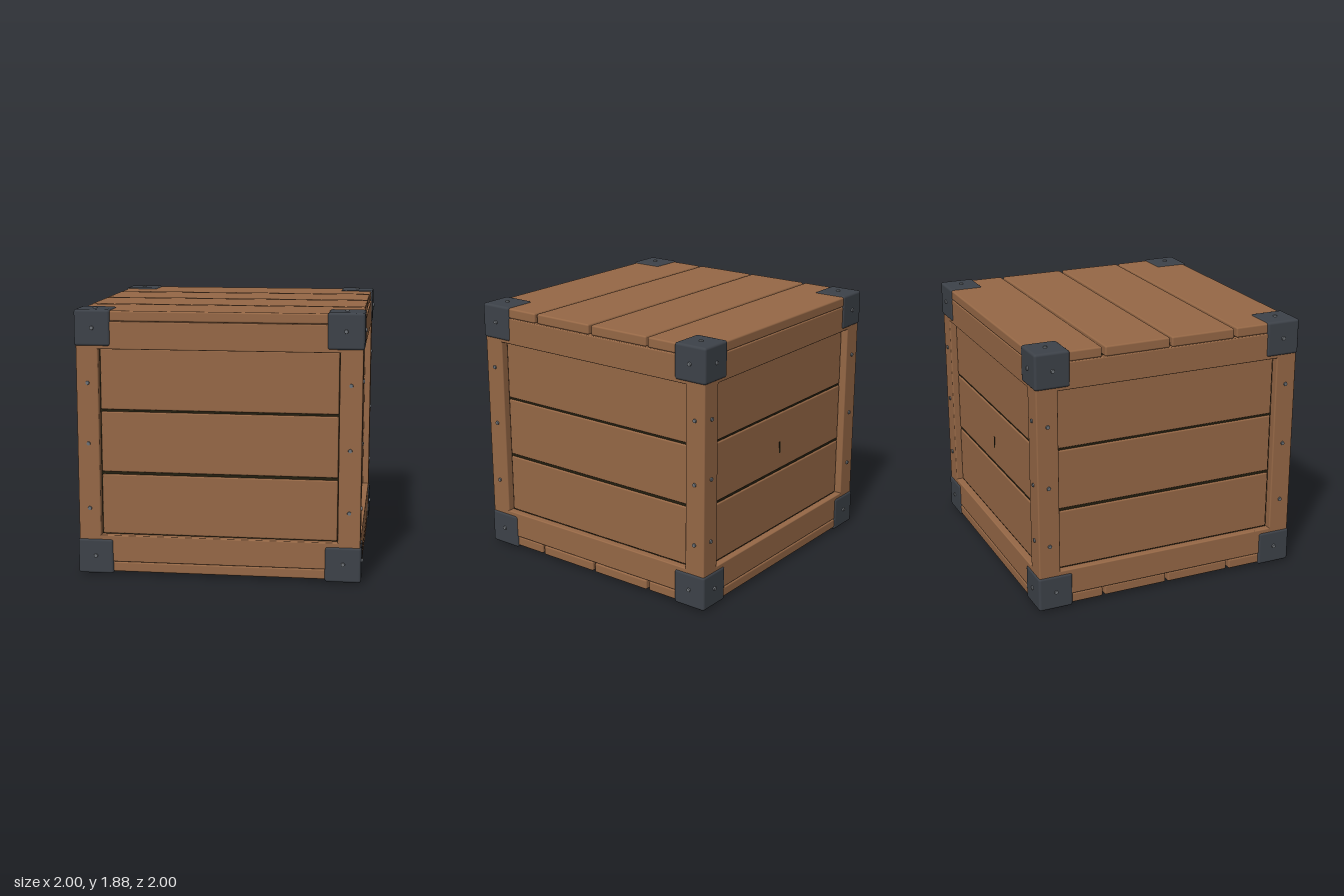
import * as THREE from 'three';
import { RoundedBoxGeometry } from 'three/addons/geometries/RoundedBoxGeometry.js';

const flat = (name, color) => {
  const m = new THREE.MeshStandardMaterial({ color });
  m.name = name;
  return m;
};

export function createModel() {
  const wood = flat('wood', 0x966846);
  const iron = flat('iron', 0x3d4249);
  const steel = flat('steel', 0x6e7378);
  const shadow = flat('darkInterior', 0x241f10);

  const crate = new THREE.Group();
  crate.name = 'crate';
  const MID = 0.94; // height of the crate's centre

  const add = (parent, name, geometry, material, x, y, z) => {
    const mesh = new THREE.Mesh(geometry, material);
    mesh.name = name;
    mesh.position.set(x, y, z);
    parent.add(mesh);
    return mesh;
  };
  const board = (w, h, d, bevel = 0.01) => new RoundedBoxGeometry(w, h, d, 2, bevel);

  // Dark core seen through the gaps between boards
  add(crate, 'interior', new THREE.BoxGeometry(1.85, 1.68, 1.85), shadow, 0, MID, 0);

  // Lid and floor: four boards each, with slightly uneven placement
  const shift = [-0.002, -0.006, -0.004, 0.001];
  const lidBoard = board(1.955, 0.072, 0.475, 0.012);
  for (let i = 0; i < 4; i++) {
    const z = -0.745 + i * 0.4935;
    add(crate, 'lidBoard', lidBoard, wood, shift[i], 1.826, z).rotation.y = (i % 2 ? 1 : -1) * 0.0015;
    add(crate, 'floorBoard', lidBoard, wood, -shift[i], 0.06, z);
  }

  // Corner posts and iron corner caps
  const post = board(0.155, 1.69, 0.155);
  const cap = board(0.25, 0.25, 0.25, 0.018);
  for (const x of [-1, 1]) for (const z of [-1, 1]) {
    add(crate, 'cornerPost', post, wood, x * 0.904, MID + 0.003, z * 0.904);
    for (const y of [-1, 1]) add(crate, 'cornerCap', cap, iron, x * 0.865, MID + y * 0.805, z * 0.865);
  }

  // Four sides, each built facing +z and turned into place
  const rail = board(1.68, 0.19, 0.055, 0.008);
  const panel = board(1.642, 0.425, 0.05);
  const postNail = new THREE.CylinderGeometry(0.013, 0.016, 0.02, 10).rotateX(Math.PI / 2);
  const capNail = new THREE.CylinderGeometry(0.013, 0.016, 0.02, 10).rotateX(Math.PI / 2);
  const nailHeights = [ // [left post, right post] for each side
    [[0.48, 0.94, 1.365], [0.5, 0.935, 1.38]],
    [[0.52, 0.97, 1.4], [0.48, 0.915, 1.365]],
    [[0.5, 0.95, 1.37], [0.52, 0.93, 1.39]],
    [[0.49, 0.92, 1.36], [0.51, 0.95, 1.4]],
  ];
  ['front', 'left', 'back', 'right'].forEach((label, k) => {
    const side = new THREE.Group();
    side.name = label + 'Side';
    side.rotation.y = k * Math.PI / 2;
    crate.add(side);
    for (const y of [0.193, 1.694]) add(side, 'rail', rail, wood, 0, y, 0.954);
    for (const y of [0.503, 0.947, 1.387]) add(side, 'panelBoard', panel, wood, 0, y, 0.911);
    [-1, 1].forEach((s, j) => {
      for (const y of nailHeights[k][j]) add(side, 'postNail', postNail, steel, s * 0.903, y, 0.98);
      for (const y of [0.14, 1.745]) add(side, 'capNail', capNail, steel, s * 0.865, y, 0.99);
    });
    // Narrow slot in the middle board of the back
    if (label === 'back') add(side, 'slot', new THREE.BoxGeometry(0.016, 0.085, 0.004), shadow, 0, 0.9, 0.937);
  });

  // Nails on the top and bottom faces of the caps
  for (const x of [-1, 1]) for (const z of [-1, 1]) for (const y of [-1, 1]) {
    add(crate, 'capNail', capNail, steel, x * 0.865, MID + y * 0.93, z * 0.865).rotation.x = -y * Math.PI / 2;
  }
  return crate;
}
